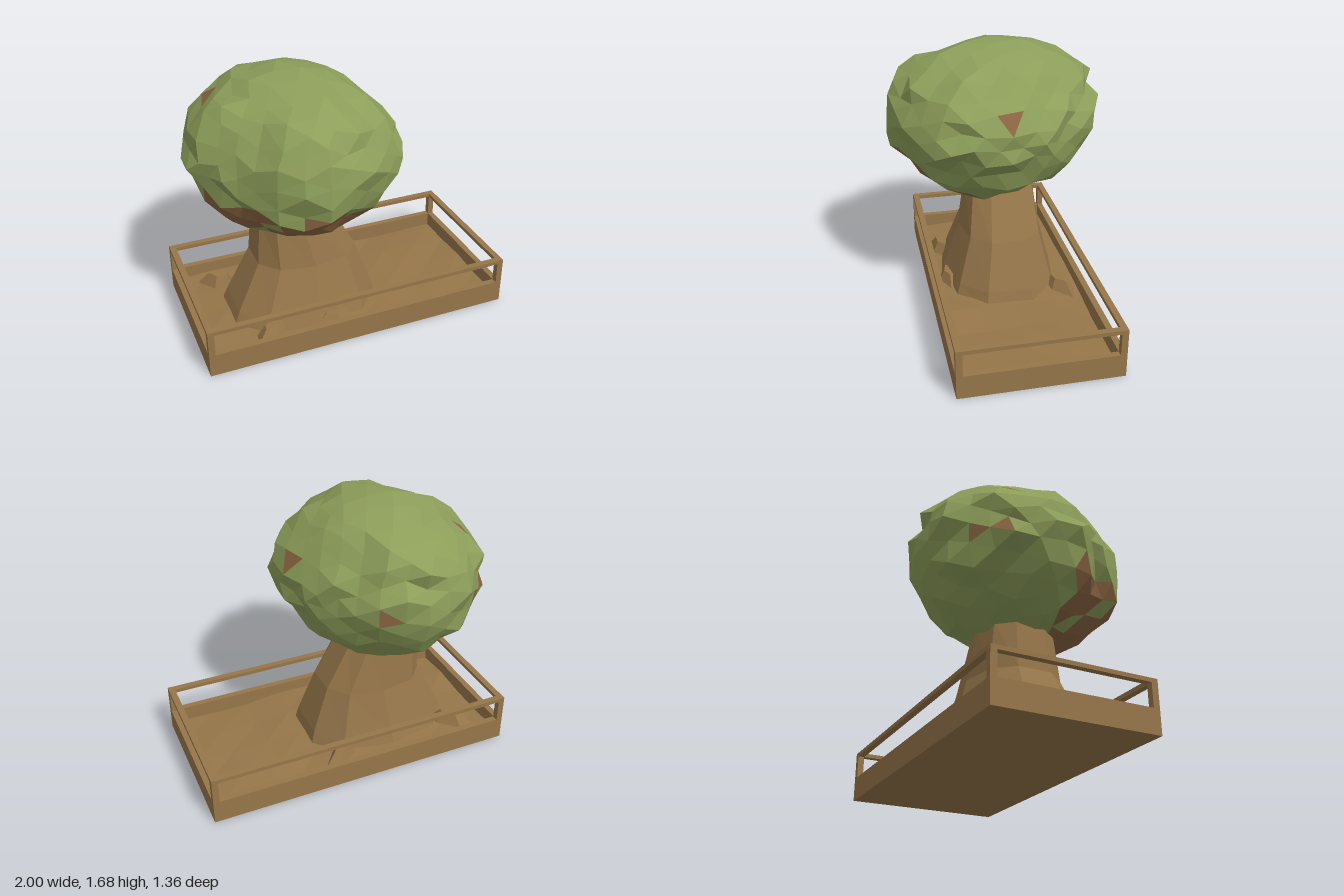
import * as THREE from 'three';

const mat = (name, color, extra = {}) => {
  const m = new THREE.MeshStandardMaterial({ color, flatShading: true, ...extra });
  m.name = name;
  return m;
};

// repeatable value 0..1 from a position
const hash = (x, y, z) => {
  const s = Math.sin(Math.round(x * 500) * 12.9898 + Math.round(y * 500) * 78.233 + Math.round(z * 500) * 37.719) * 43758.5453;
  return s - Math.floor(s);
};

const lerp = THREE.MathUtils.lerp;

// canopy profile: latitude, height, width factor in x, width factor in z
const PROFILE = [
  [-90, 0.71, 0, 0], [-68, 0.71, 0.38, 0.36], [-50, 0.8, 0.62, 0.6], [-35, 0.9, 0.79, 0.8],
  [-20, 1.02, 0.92, 0.94], [-5, 1.15, 1, 1], [8, 1.25, 0.99, 0.99], [20, 1.35, 0.94, 0.95],
  [35, 1.46, 0.81, 0.9], [50, 1.55, 0.65, 0.75], [65, 1.62, 0.44, 0.52], [78, 1.67, 0.22, 0.26], [90, 1.69, 0, 0],
];
// canopy plan radius every 22.5 degrees, from +x towards +z
const PLAN = [0.63, 0.67, 0.66, 0.66, 0.69, 0.67, 0.57, 0.6, 0.65, 0.65, 0.67, 0.68, 0.69, 0.67, 0.6, 0.61];

function canopyPoint(d) {
  const lat = THREE.MathUtils.radToDeg(Math.asin(THREE.MathUtils.clamp(d.y, -1, 1)));
  let i = 0;
  while (i < PROFILE.length - 2 && lat > PROFILE[i + 1][0]) i++;
  const [a, b] = [PROFILE[i], PROFILE[i + 1]];
  const t = (lat - a[0]) / (b[0] - a[0]);
  const az = ((Math.atan2(d.z, d.x) / (Math.PI * 2) + 1) % 1) * 16;
  const k = Math.floor(az) % 16;
  const r = lerp(PLAN[k], PLAN[(k + 1) % 16], az - Math.floor(az));
  const h = Math.hypot(d.x, d.z) || 1;
  const bump = 1 + (hash(d.x, d.y, d.z) - 0.6) * 0.1;
  const lift = d.y < -0.9 ? 0 : (hash(d.z, d.x, d.y) - 0.5) * 0.05 * (d.y > 0.9 ? 0.4 : 1);
  return new THREE.Vector3(
    -0.3 + (d.x / h) * r * lerp(a[2], b[2], t) * bump,
    lerp(a[1], b[1], t) + lift,
    (d.z / h) * r * lerp(a[3], b[3], t) * bump,
  );
}

function facesToGeometry(faces) {
  const g = new THREE.BufferGeometry().setFromPoints(faces.flat());
  g.computeVertexNormals();
  return g;
}

// faceted canopy split into leaves, bare brown underside and small bare spots
function buildCanopy(leaf, bark) {
  const src = new THREE.IcosahedronGeometry(1, 4).getAttribute('position');
  const faces = [];
  for (let i = 0; i < src.count; i += 3) {
    faces.push([0, 1, 2].map((j) => canopyPoint(new THREE.Vector3().fromBufferAttribute(src, i + j).normalize())));
  }
  const centre = faces.map((f) => f[0].clone().add(f[1]).add(f[2]).divideScalar(3));
  const brown = new Set();
  centre.forEach((c, i) => {
    const front = c.x < 0.17 && c.z > 0.12 && c.y < 0.77 + 0.6 * (c.z - 0.2);
    const side = c.x < -0.6 && c.z > 0.1 && c.y < 1.04;
    if (front || side) brown.add(i);
  });
  const spots = [[0.28, 1.36, -0.02], [-0.05, 1.24, -0.61], [-0.66, 1.46, -0.2], [-0.76, 1.14, -0.44], [-0.83, 1.17, -0.34]];
  for (const s of spots) {
    const p = new THREE.Vector3(...s);
    let best = 0;
    centre.forEach((c, i) => { if (c.distanceTo(p) < centre[best].distanceTo(p)) best = i; });
    brown.add(best);
  }
  const group = new THREE.Group();
  group.name = 'canopy';
  const leaves = new THREE.Mesh(facesToGeometry(faces.filter((_, i) => !brown.has(i))), leaf);
  leaves.name = 'leaves';
  const bare = new THREE.Mesh(facesToGeometry(faces.filter((_, i) => brown.has(i))), bark);
  bare.name = 'bareBranches';
  group.add(leaves, bare);
  return group;
}

// flared trunk lofted through squarish rings: y, x min, x max, z min, z max
function buildTrunk(material) {
  const rings = [[0.03, -0.78, 0.25, -0.41, 0.39], [0.15, -0.73, 0.22, -0.37, 0.35],
    [0.45, -0.57, 0.11, -0.29, 0.25], [0.74, -0.54, -0.05, -0.26, 0.2]];
  const n = 10;
  const soft = (v) => Math.sign(v) * Math.abs(v) ** 0.8;
  const pt = ([y, x0, x1, z0, z1], i) => {
    const a = ((i % n) + 0.5) / n * Math.PI * 2;
    return new THREE.Vector3((x0 + x1) / 2 + soft(Math.cos(a)) * (x1 - x0) / 2, y, (z0 + z1) / 2 + soft(Math.sin(a)) * (z1 - z0) / 2);
  };
  const faces = [];
  for (let r = 0; r < rings.length - 1; r++) {
    for (let i = 0; i < n; i++) {
      const [a, b, c, d] = [pt(rings[r], i), pt(rings[r], i + 1), pt(rings[r + 1], i + 1), pt(rings[r + 1], i)];
      faces.push([a, d, c], [a, c, b]);
    }
  }
  const trunk = new THREE.Mesh(facesToGeometry(faces), material);
  trunk.name = 'trunk';
  return trunk;
}

export function createModel() {
  const model = new THREE.Group();
  model.name = 'treePlanter';
  const wood = mat('wood', 0x96764a);
  const bark = mat('bareBark', 0x8a6542, { side: THREE.DoubleSide });
  const leaf = mat('leaf', 0x8d9e5a, { side: THREE.DoubleSide });

  const planter = new THREE.Group();
  planter.name = 'planter';
  planter.position.z = -0.025;
  const box = (name, w, h, d, x, y, z) => {
    const m = new THREE.Mesh(new THREE.BoxGeometry(w, h, d), wood);
    m.name = name;
    m.position.set(x, y, z);
    planter.add(m);
  };
  // tray walls, rails and corner posts
  box('trayBottom', 2, 0.03, 1, 0, 0.015, 0);
  for (const s of [-1, 1]) {
    box('longWall', 2, 0.12, 0.04, 0, 0.09, s * 0.48);
    box('shortWall', 0.04, 0.12, 0.92, s * 0.98, 0.09, 0);
    box('longRail', 2, 0.025, 0.04, 0, 0.3075, s * 0.48);
    box('shortRail', 0.04, 0.025, 0.92, s * 0.98, 0.3075, 0);
    for (const t of [-1, 1]) box('cornerPost', 0.04, 0.145, 0.04, s * 0.98, 0.2225, t * 0.48);
  }

  // uneven soil, rising near the trunk
  const soil = new THREE.PlaneGeometry(1.92, 0.92, 8, 4).rotateX(-Math.PI / 2);
  const p = soil.getAttribute('position');
  for (let i = 0; i < p.count; i++) {
    const near = Math.max(0, 1 - Math.hypot(p.getX(i) + 0.28, p.getZ(i)) / 0.8);
    p.setY(i, 0.045 + 0.025 * hash(p.getX(i), 1, p.getZ(i)) + 0.06 * near);
  }
  soil.computeVertexNormals();
  const ground = new THREE.Mesh(soil, wood);
  ground.name = 'soil';
  planter.add(ground);

  // low roots around the foot of the trunk
  for (const [x, z, turn] of [[-0.14, 0.36, 0.1], [-0.55, 0.35, 0.4], [-0.72, -0.3, -0.7], [0.1, -0.34, 0.6]]) {
    const root = new THREE.Mesh(new THREE.CylinderGeometry(0.06, 0.14, 0.1, 5), wood);
    root.name = 'root';
    root.scale.set(1.2, 1, 0.6);
    root.position.set(x, 0.1, z);
    root.rotation.y = turn;
    planter.add(root);
  }

  model.add(planter, buildTrunk(wood), buildCanopy(leaf, bark));
  return model;
}
